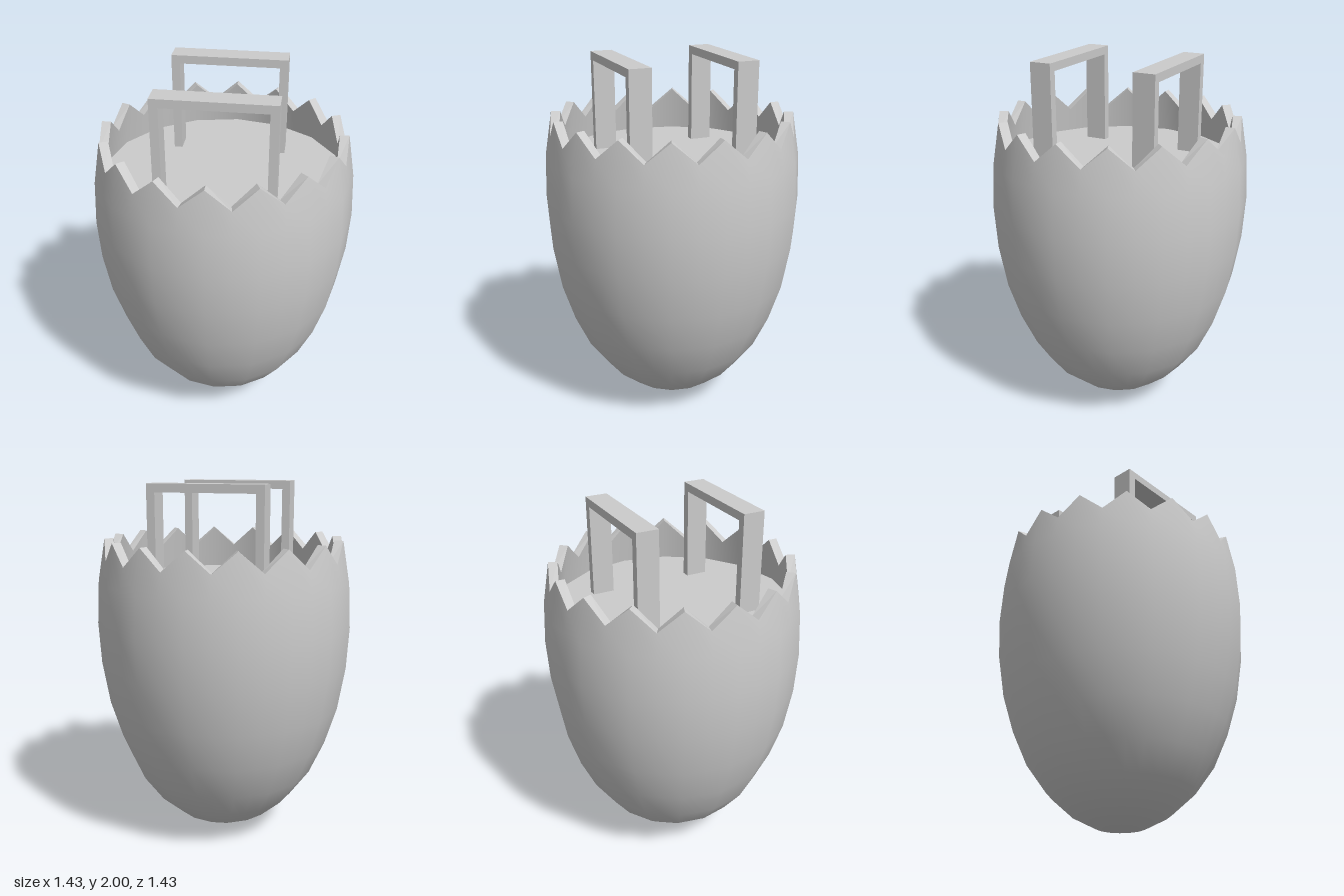
import * as THREE from 'three';

const SIDES = 16;
const RIM_Y = 1.7;
const VALLEY_Y = 1.59;

const part = (name, geometry, flatShading = false) => {
  const mesh = new THREE.Mesh(geometry, new THREE.MeshStandardMaterial({ color: 0xcccccc, flatShading }));
  mesh.name = name;
  return mesh;
};

// 16-sided lathe with an extra column at the middle of each side;
// on the rim those middle columns drop to form the zigzag valleys.
function shellLathe(profile) {
  const geometry = new THREE.LatheGeometry(profile.map(([r, y]) => new THREE.Vector2(r, y)), SIDES * 2);
  const pos = geometry.attributes.position;
  const chord = Math.cos(Math.PI / SIDES);
  for (let i = 0; i < pos.count; i++) {
    const column = Math.floor(i / profile.length);
    if (column % 2 === 0) continue;
    const [r, y] = profile[i % profile.length];
    const onRim = y === RIM_Y;
    const radius = (onRim ? r + 0.018 : r) * chord;
    const angle = (column / SIDES) * Math.PI;
    pos.setXYZ(i, radius * Math.sin(angle), onRim ? VALLEY_Y : y, radius * Math.cos(angle));
  }
  return geometry;
}

// Rectangular arch handle standing on the floor
function handle(name, z, floorY) {
  const w = 0.315, t = 0.045, depth = 0.12;
  const shape = new THREE.Shape([
    [-w, floorY], [-w + t, floorY], [-w + t, 2 - t], [w - t, 2 - t],
    [w - t, floorY], [w, floorY], [w, 2], [-w, 2],
  ].map(([x, y]) => new THREE.Vector2(x, y)));
  const geometry = new THREE.ExtrudeGeometry(shape, { depth, bevelEnabled: false });
  geometry.translate(0, 0, z - depth / 2);
  return part(name, geometry, true);
}

export function createModel() {
  const group = new THREE.Group();
  group.name = 'crackedEggBasket';
  const floorY = 1.455;

  // Egg shell: outside, thick zigzag rim, inside wall and floor
  group.add(part('outerShell', shellLathe([
    [0, 0], [0.14, 0.03], [0.275, 0.1], [0.4, 0.21], [0.51, 0.36], [0.595, 0.55],
    [0.66, 0.76], [0.7, 1.0], [0.713, 1.23], [0.7, 1.47], [0.66, RIM_Y],
  ])));
  group.add(part('zigzagRim', shellLathe([[0.66, RIM_Y], [0.61, RIM_Y]]), true));
  group.add(part('innerWall', shellLathe([[0.61, RIM_Y], [0.65, floorY]])));
  group.add(part('floor', shellLathe([[0.65, floorY], [0, floorY]]), true));

  // Front and back handles
  group.add(handle('frontHandle', 0.295, floorY));
  group.add(handle('backHandle', -0.295, floorY));
  return group;
}
